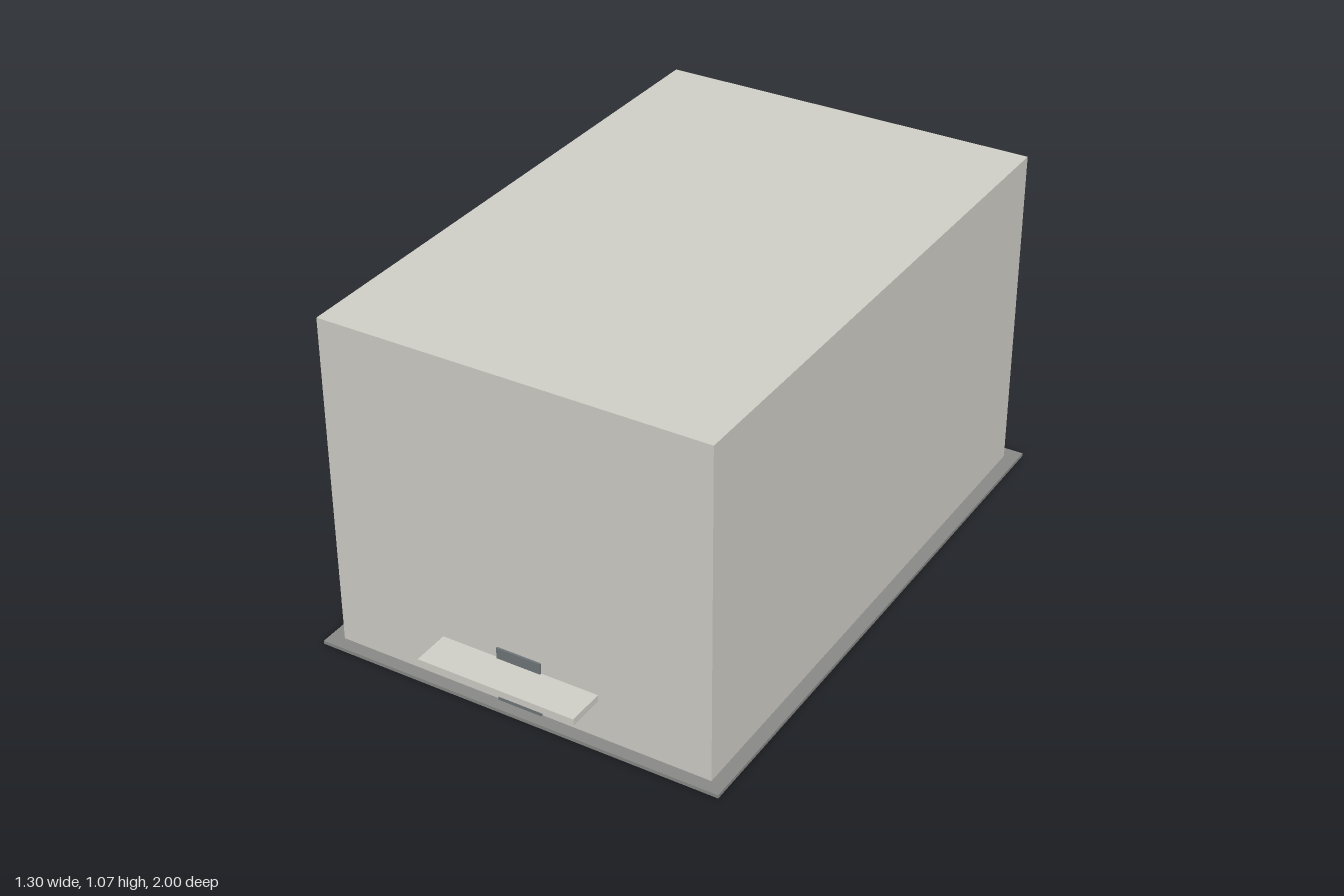
import * as THREE from 'three';

// Box given by its extents along each axis
function block(name, [x0, x1], [y0, y1], [z0, z1], color) {
  const mesh = new THREE.Mesh(
    new THREE.BoxGeometry(x1 - x0, y1 - y0, z1 - z0),
    new THREE.MeshStandardMaterial({ color })
  );
  mesh.position.set((x0 + x1) / 2, (y0 + y1) / 2, (z0 + z1) / 2);
  mesh.name = name;
  return mesh;
}

export function createModel() {
  const group = new THREE.Group();
  group.name = 'building';
  const wall = 0xd2d0c8, paving = 0x8a8a88, glass = 0x70767a;
  const ground = 0.011;

  group.add(
    // Thin paved base, wider than the building
    block('baseSlab', [-0.65, 0.65], [0, ground], [-1, 0.92], paving),
    // Main volume
    block('buildingBody', [-0.606, 0.606], [ground, 1.065], [-0.955, 0.88], wall),
    // Entrance door panel, slightly proud of the front wall
    block('entranceDoor', [-0.071, 0.071], [ground, 0.19], [0.876, 0.886], glass),
    // Flat canopy over the entrance
    block('entranceCanopy', [-0.253, 0.253], [0.134, 0.155], [0.878, 1], wall)
  );
  return group;
}
